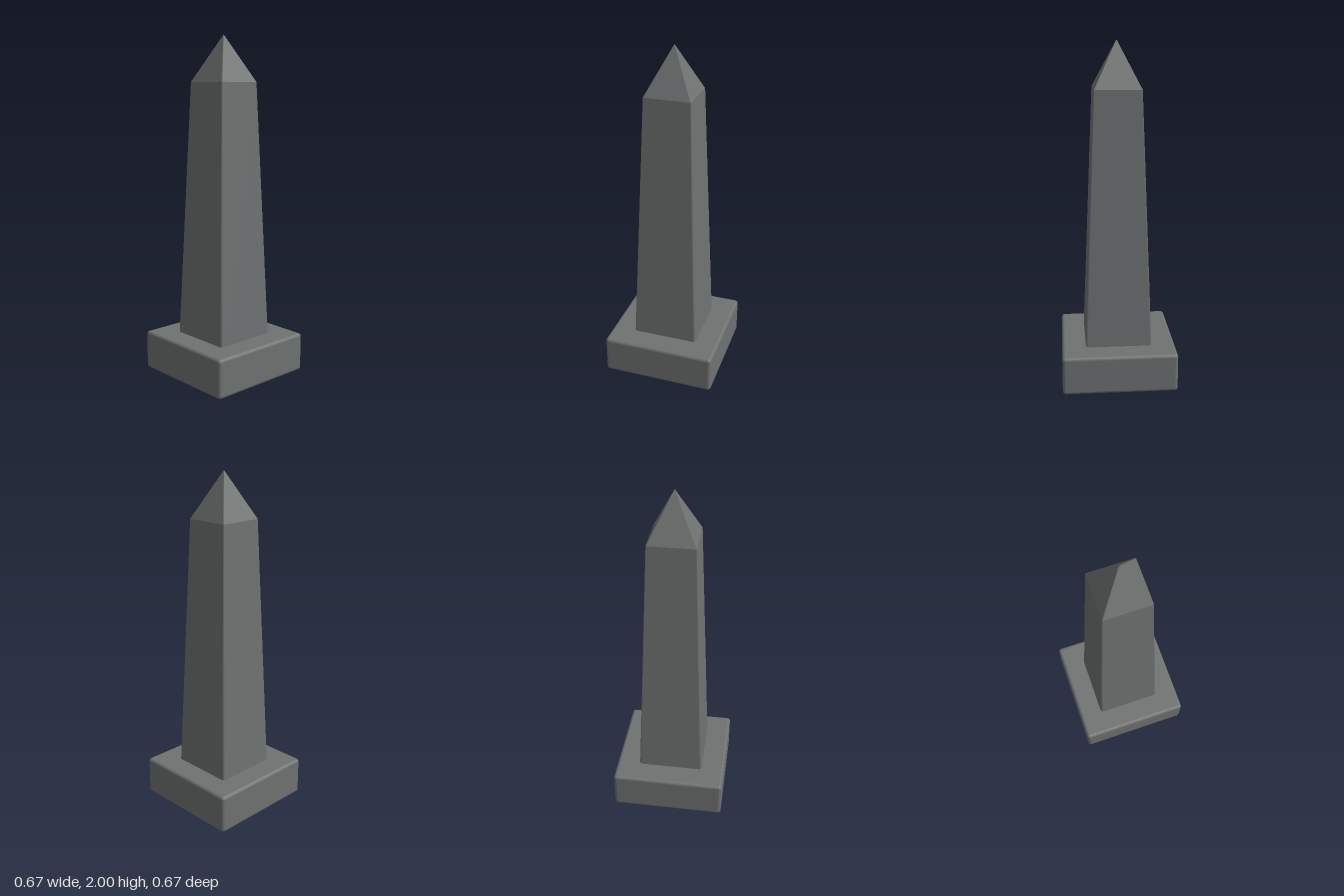
import * as THREE from 'three';
import { RoundedBoxGeometry } from 'three/addons/geometries/RoundedBoxGeometry.js';

// Tapered square tier with narrow corner chamfers; normals follow the four
// main faces so the chamfers shade as soft edges.
// Each level is { y, half, chamfer }.
function taperedTier(bottom, top) {
  const positions = [], normals = [], indices = [];
  const up = new THREE.Vector3(0, 1, 0);
  const slope = new THREE.Vector3(0, bottom.half - top.half, top.y - bottom.y).normalize();
  for (const { y, half, chamfer } of [bottom, top]) {
    for (let k = 0; k < 4; k++) {
      const angle = k * Math.PI / 2;
      const normal = slope.clone().applyAxisAngle(up, angle);
      for (const side of [-1, 1]) {
        const p = new THREE.Vector3(side * (half - chamfer), y, half).applyAxisAngle(up, angle);
        positions.push(p.x, p.y, p.z);
        normals.push(normal.x, normal.y, normal.z);
      }
    }
  }
  for (let i = 0; i < 8; i++) {
    const j = (i + 1) % 8;
    indices.push(i, j, j + 8, i, j + 8, i + 8);
  }
  const geometry = new THREE.BufferGeometry();
  geometry.setAttribute('position', new THREE.Float32BufferAttribute(positions, 3));
  geometry.setAttribute('normal', new THREE.Float32BufferAttribute(normals, 3));
  geometry.setIndex(indices);
  return geometry;
}

export function createModel() {
  const group = new THREE.Group();
  group.name = 'obelisk';
  const stone = new THREE.MeshStandardMaterial({ color: 0x6e7271 });
  stone.name = 'grey stone';

  const add = (name, geometry) => {
    const mesh = new THREE.Mesh(geometry, stone);
    mesh.name = name;
    group.add(mesh);
    return mesh;
  };

  // Square plinth with softened edges
  add('plinth', new RoundedBoxGeometry(0.674, 0.232, 0.674, 3, 0.02)).position.y = 0.116;

  // Tapering shaft, sunk slightly into the plinth, and its pointed cap
  const foot = { y: 0.22, half: 0.196, chamfer: 0.012 };
  const shoulder = { y: 1.735, half: 0.136, chamfer: 0.005 };
  const tip = { y: 2, half: 0.002, chamfer: 0.002 };
  add('shaft', taperedTier(foot, shoulder));
  add('cap', taperedTier(shoulder, tip));

  return group;
}
